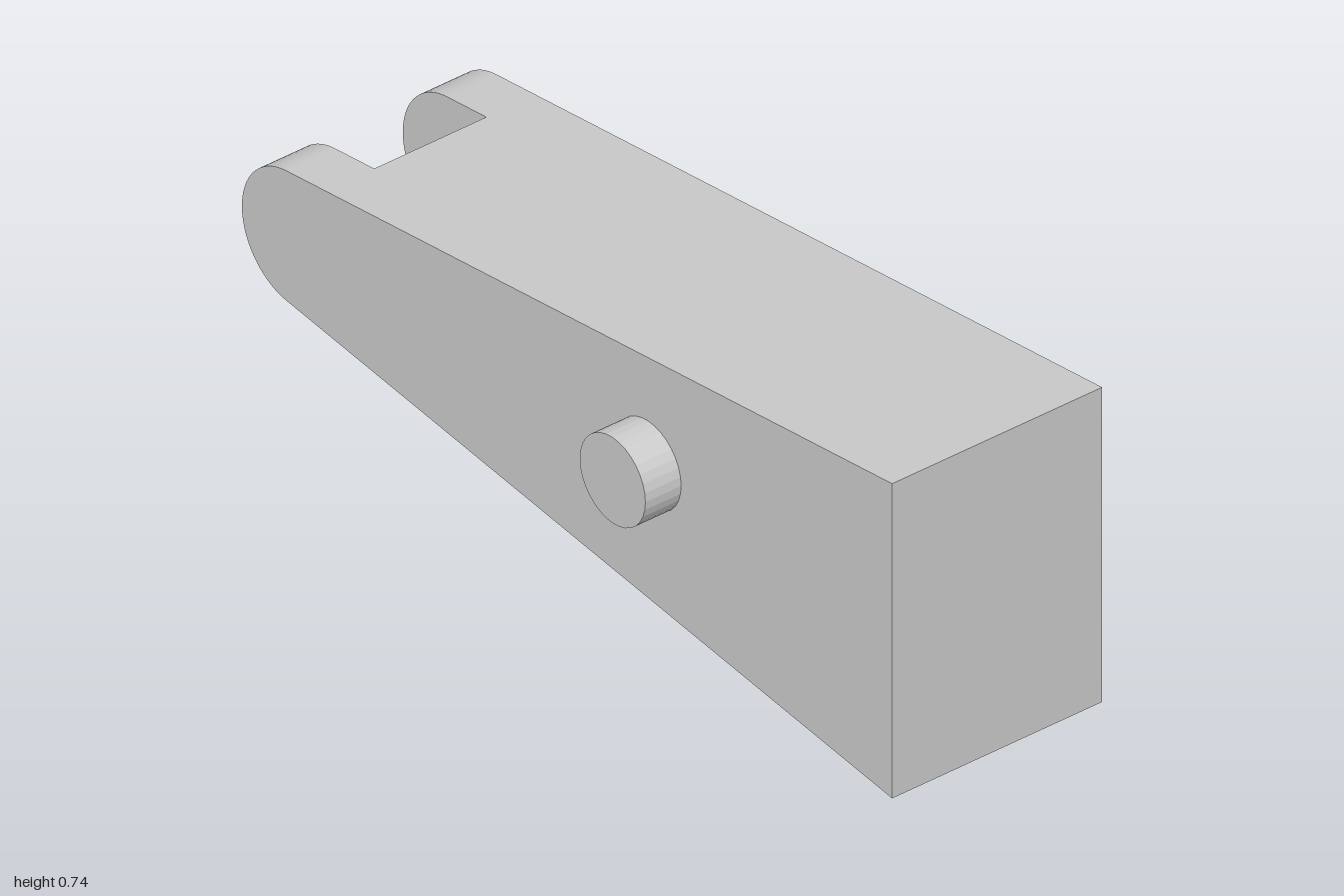
import * as THREE from 'three';

const material = new THREE.MeshStandardMaterial({ color: 0xcccccc, flatShading: true });

// Side profile: a symmetric wedge about MID_Y, ending in a tangent round nose
const MID_Y = 0.371, HALF_H = 0.371, NOSE_R = 0.154, NOSE_X = -1 + NOSE_R;
const TILT = Math.atan(0.1164);
const tangentX = NOSE_X - NOSE_R * Math.sin(TILT);
const tangentH = NOSE_R * Math.cos(TILT);

// Depth layers and slot
const BACK = -0.313, SLOT_BACK = -0.188, SLOT_FRONT = 0.098, FRONT = 0.222;
const SLOT_X = -0.743;

function fullProfile() {
  const s = new THREE.Shape();
  s.moveTo(1, MID_Y - HALF_H);
  s.lineTo(1, MID_Y + HALF_H);
  s.lineTo(tangentX, MID_Y + tangentH);
  s.absarc(NOSE_X, MID_Y, NOSE_R, Math.PI / 2 + TILT, Math.PI * 1.5 - TILT, false);
  s.closePath();
  return s;
}

// The same wedge cut off at the floor of the slot
function coreProfile() {
  const t = (SLOT_X - tangentX) / (1 - tangentX);
  const h = THREE.MathUtils.lerp(tangentH, HALF_H, t);
  return new THREE.Shape([
    new THREE.Vector2(1, MID_Y - HALF_H),
    new THREE.Vector2(1, MID_Y + HALF_H),
    new THREE.Vector2(SLOT_X, MID_Y + h),
    new THREE.Vector2(SLOT_X, MID_Y - h),
  ]);
}

function slab(name, shape, z0, z1) {
  const geometry = new THREE.ExtrudeGeometry(shape, { depth: z1 - z0, bevelEnabled: false, curveSegments: 20 });
  geometry.translate(0, 0, z0);
  const mesh = new THREE.Mesh(geometry, material);
  mesh.name = name;
  return mesh;
}

export function createModel() {
  const model = new THREE.Group();
  model.name = 'forkedWedgeArm';

  // Two round-nosed cheeks with a shorter core between them form the fork
  model.add(
    slab('backCheek', fullProfile(), BACK, SLOT_BACK),
    slab('core', coreProfile(), SLOT_BACK, SLOT_FRONT),
    slab('frontCheek', fullProfile(), SLOT_FRONT, FRONT),
  );

  // Round pin standing out of the front face
  const pinLength = 0.313 - FRONT;
  const pin = new THREE.Mesh(new THREE.CylinderGeometry(0.101, 0.101, pinLength, 32), material);
  pin.name = 'pin';
  pin.rotation.x = Math.PI / 2;
  pin.position.set(0.25, 0.404, FRONT + pinLength / 2);
  model.add(pin);

  return model;
}
